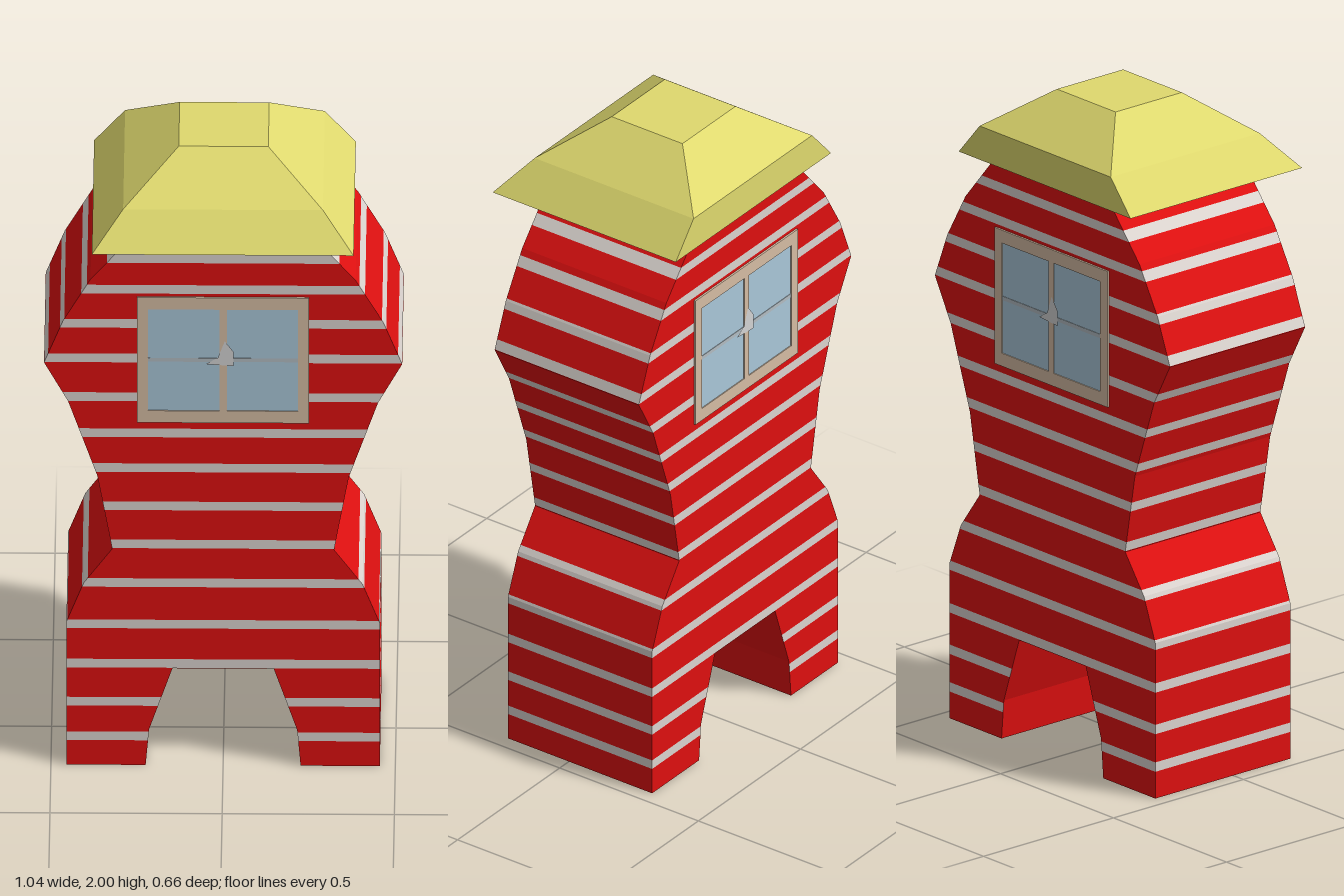
import * as THREE from 'three';

const mat = (name, color, side = THREE.FrontSide) => {
  const m = new THREE.MeshStandardMaterial({ color, side });
  m.name = name;
  return m;
};

// Piecewise-linear lookup of [x, y] profile points
const xAt = (pts, y) => {
  for (let i = 1; i < pts.length; i++) {
    const [x0, y0] = pts[i - 1], [x1, y1] = pts[i];
    if (y <= y1) return x0 + (x1 - x0) * (y - y0) / (y1 - y0);
  }
  return pts[pts.length - 1][0];
};

const addQuad = (out, a, b, c, d) => out.push(...a, ...b, ...c, ...a, ...c, ...d);

const meshOf = (name, positions, material) => {
  const g = new THREE.BufferGeometry();
  g.setAttribute('position', new THREE.Float32BufferAttribute(positions, 3));
  g.computeVertexNormals();
  const m = new THREE.Mesh(g, material);
  m.name = name;
  return m;
};

const FRONT = 0.22, BACK = -0.30, TOP = 1.777, ARCH_TOP = 0.325;
const OUTLINE = [[0.455, 0], [0.455, 0.48], [0.405, 0.61], [0.322, 0.725], [0.365, 0.97],
  [0.45, 1.22], [0.52, 1.35], [0.465, 1.49], [0.385, 1.63], [0.26, TOP]];
const ARCH = [[0.225, 0], [0.215, 0.12], [0.147, ARCH_TOP]];
const STRIPES = [0.097, 0.213, 0.341, 0.473, 0.612, 0.742, 0.87, 0.998, 1.115, 1.236, 1.366, 1.482, 1.597, 1.70];
const HALF_STRIPE = 0.0145;

// Tower walls, cut into horizontal red and grey bands
function buildBody(red, grey) {
  const body = new THREE.Group();
  body.name = 'body';
  const levels = [...OUTLINE.map(p => p[1]), ...ARCH.map(p => p[1]),
    ...STRIPES.flatMap(s => [s - HALF_STRIPE, s + HALF_STRIPE])].sort((a, b) => a - b);
  const bands = { red: [], grey: [] };
  for (let i = 1; i < levels.length; i++) {
    const y0 = levels[i - 1], y1 = levels[i];
    if (y1 - y0 < 1e-5) continue;
    const mid = (y0 + y1) / 2;
    const out = STRIPES.some(s => Math.abs(s - mid) < HALF_STRIPE) ? bands.grey : bands.red;
    const w0 = xAt(OUTLINE, y0), w1 = xAt(OUTLINE, y1);
    // front and back panels, split in two beside the arch
    const spans = mid < ARCH_TOP
      ? [[xAt(ARCH, y0), w0, xAt(ARCH, y1), w1], [-w0, -xAt(ARCH, y0), -w1, -xAt(ARCH, y1)]]
      : [[-w0, w0, -w1, w1]];
    for (const [l0, r0, l1, r1] of spans) {
      addQuad(out, [l0, y0, FRONT], [r0, y0, FRONT], [r1, y1, FRONT], [l1, y1, FRONT]);
      addQuad(out, [r0, y0, BACK], [l0, y0, BACK], [l1, y1, BACK], [r1, y1, BACK]);
    }
    // side panels
    addQuad(out, [w0, y0, FRONT], [w0, y0, BACK], [w1, y1, BACK], [w1, y1, FRONT]);
    addQuad(out, [-w0, y0, BACK], [-w0, y0, FRONT], [-w1, y1, FRONT], [-w1, y1, BACK]);
  }
  body.add(meshOf('redBoards', bands.red, red), meshOf('greyStripes', bands.grey, grey));

  // plain lining of the passage between the legs
  const path = [...ARCH, ...ARCH.map(([x, y]) => [-x, y]).reverse()];
  const lining = [];
  for (let i = 1; i < path.length; i++) {
    const [x0, y0] = path[i - 1], [x1, y1] = path[i];
    addQuad(lining, [x0, y0, BACK], [x0, y0, FRONT], [x1, y1, FRONT], [x1, y1, BACK]);
  }
  body.add(meshOf('archLining', lining, red));
  return body;
}

// Roof from three rectangular rings: half width, height, back z, front z
function buildRoof(material) {
  const ring = ([w, y, b, f]) => [[-w, y, f], [w, y, f], [w, y, b], [-w, y, b]];
  const rings = [[0.38, TOP, -0.33, 0.33], [0.29, 1.88, -0.328, 0.245], [0.13, 2.0, -0.17, 0.085]].map(ring);
  const out = [];
  for (let r = 1; r < rings.length; r++) {
    for (let i = 0; i < 4; i++) {
      const j = (i + 1) % 4;
      addQuad(out, rings[r - 1][i], rings[r - 1][j], rings[r][j], rings[r][i]);
    }
  }
  addQuad(out, ...rings[2]);
  addQuad(out, ...[...rings[0]].reverse());
  return meshOf('roof', out, material);
}

// Flat window facing +z with its back on z = 0
function buildWindow(frame, glass, bar, glint) {
  const win = new THREE.Group();
  win.name = 'window';
  const plate = (name, w, h, x, y, depth, material) => {
    const m = new THREE.Mesh(new THREE.BoxGeometry(w, h, depth), material);
    m.name = name;
    m.position.set(x, y, depth / 2);
    win.add(m);
  };
  plate('glass', 0.48, 0.40, 0, 0, 0.003, glass);
  plate('crossBar', 0.44, 0.012, 0, 0, 0.0045, bar);
  plate('mullion', 0.022, 0.36, 0, 0, 0.006, frame);
  for (const s of [-1, 1]) {
    plate('frameSide', 0.032, 0.42, s * 0.234, 0, 0.006, frame);
    plate('frameRail', 0.436, 0.04, 0, s * 0.19, 0.006, frame);
  }
  const shape = new THREE.Shape([[-0.05, -0.012], [0.03, -0.018], [0.03, 0.03], [0.005, 0.065], [-0.015, 0.01]]
    .map(([x, y]) => new THREE.Vector2(x, y)));
  const shine = new THREE.Mesh(new THREE.ShapeGeometry(shape), glint);
  shine.name = 'glint';
  shine.position.z = 0.0075;
  win.add(shine);
  return win;
}

export function createModel() {
  const red = mat('red paint', 0xdf1010, THREE.DoubleSide);
  const grey = mat('pale grey stripe', 0xdcd5d0, THREE.DoubleSide);
  const straw = mat('yellow roof', 0xdfd96e);
  const tan = mat('tan frame', 0xd6bda4);
  const blue = mat('blue glass', 0xaac7d9);
  const greyBlue = mat('grey blue bar', 0xb3bdc3);
  const pale = mat('pale glint', 0xd3d3d3);

  const model = new THREE.Group();
  model.name = 'stripedTower';
  model.add(buildBody(red, grey), buildRoof(straw));

  // matching windows on front and back
  for (const [name, z, turn] of [['frontWindow', FRONT, 0], ['backWindow', BACK, Math.PI]]) {
    const win = buildWindow(tan, blue, greyBlue, pale);
    win.name = name;
    win.position.set(0, 1.363, z);
    win.rotation.y = turn;
    model.add(win);
  }
  return model;
}
